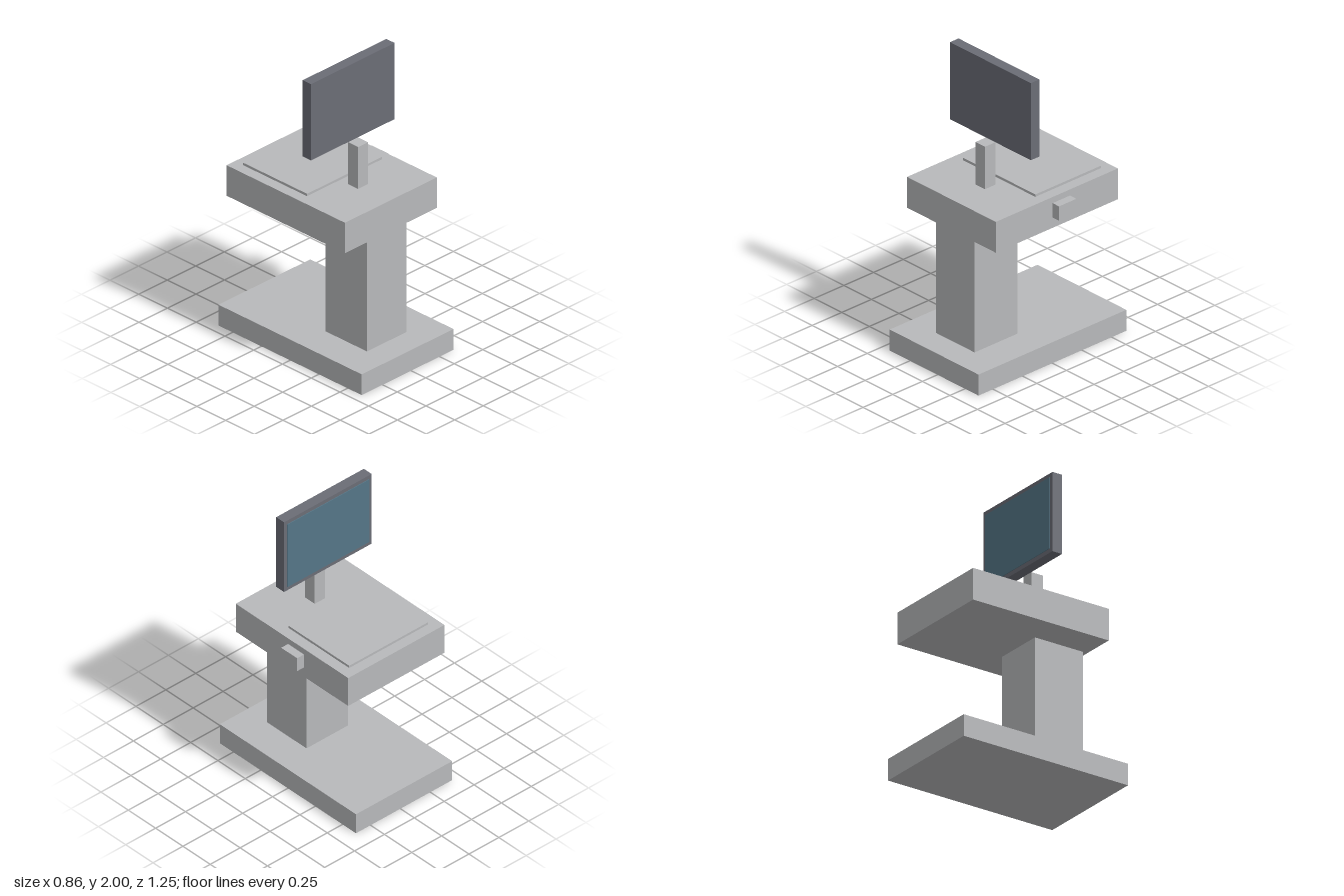
import * as THREE from 'three';

function material(name, color) {
  const m = new THREE.MeshStandardMaterial({ color });
  m.name = name;
  return m;
}

export function createModel() {
  const grey = material('light grey', 0xb8b9bb);
  const dark = material('dark grey', 0x6b6d76);
  const blue = material('screen blue', 0x557687);

  const group = new THREE.Group();
  group.name = 'scanningWorkstation';

  // Adds a box from its [min, max] range on each axis
  function box(name, mat, [x0, x1], [y0, y1], [z0, z1]) {
    const mesh = new THREE.Mesh(new THREE.BoxGeometry(x1 - x0, y1 - y0, z1 - z0), mat);
    mesh.position.set((x0 + x1) / 2, (y0 + y1) / 2, (z0 + z1) / 2);
    mesh.name = name;
    group.add(mesh);
  }

  // Stand
  box('base', grey, [-0.433, 0.372], [0, 0.147], [-0.623, 0.623]);
  box('column', grey, [-0.205, 0.143], [0.147, 0.947], [0.08, 0.443]);

  // Worktop with raised plate and side knob
  box('worktop', grey, [-0.433, 0.372], [0.947, 1.163], [-0.552, 0.477]);
  box('raisedPlate', grey, [-0.36, 0.298], [1.163, 1.18], [-0.48, 0.075]);
  box('sideKnob', grey, [0.372, 0.43], [1.02, 1.12], [-0.148, -0.002]);

  // Monitor on its post, screen facing the raised plate
  box('monitorPost', grey, [-0.073, 0.013], [1.163, 1.46], [0.147, 0.235]);
  box('monitor', dark, [-0.398, 0.335], [1.46, 2], [0.075, 0.147]);
  box('screen', blue, [-0.373, 0.31], [1.488, 1.972], [0.07, 0.075]);

  return group;
}
